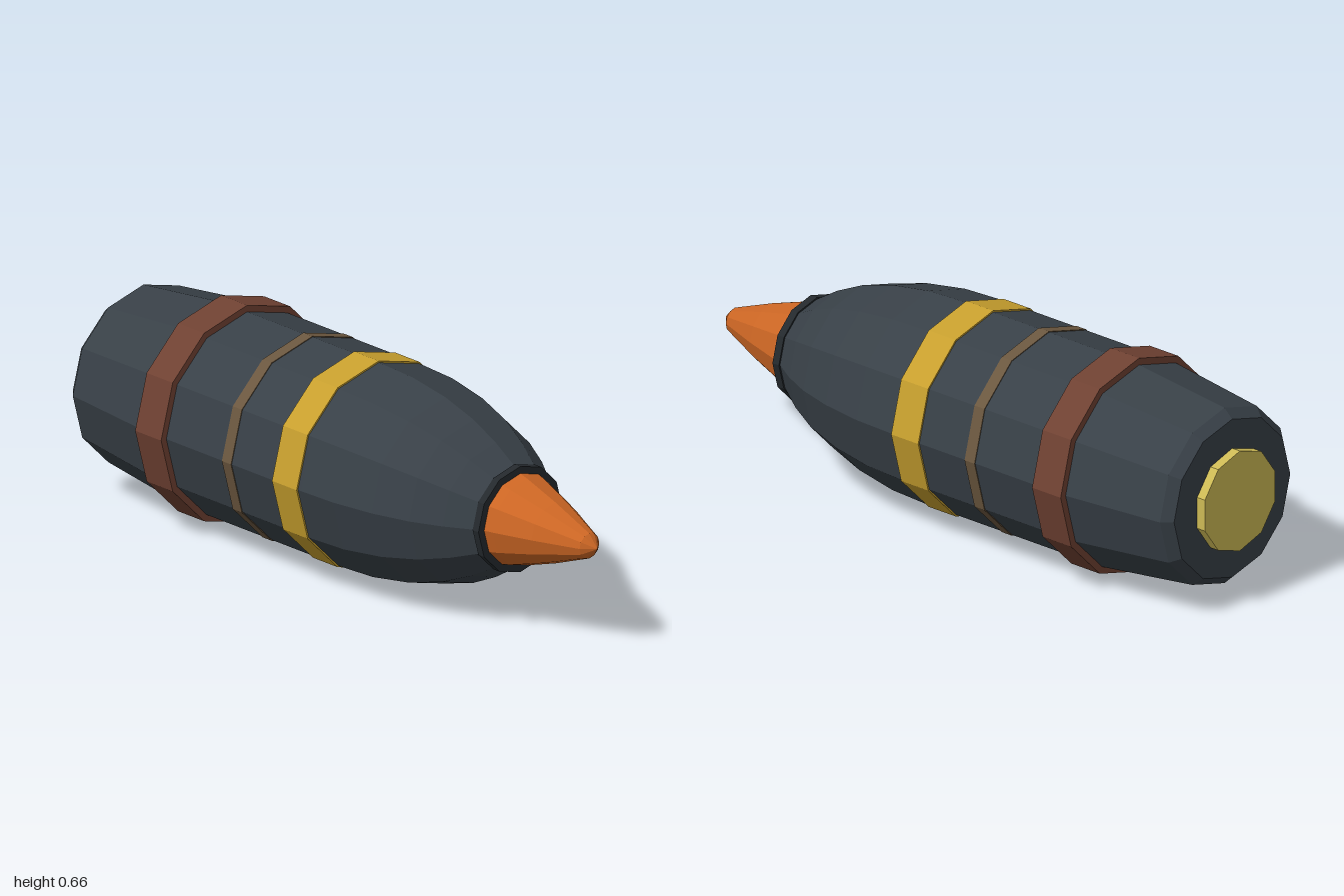
import * as THREE from 'three';

const AXIS_Y = 0.332;

function material(name, color) {
  const m = new THREE.MeshStandardMaterial({ color, flatShading: true });
  m.name = name;
  return m;
}

export function createModel() {
  const group = new THREE.Group();
  group.name = 'shell';

  const slate = material('slate casing', 0x384047);
  const black = material('dark collar', 0x24292d);
  const orange = material('orange', 0xcc6624);
  const yellow = material('yellow', 0xc79f2e);
  const tan = material('dull tan', 0x6b573f);
  const copper = material('red brown', 0x6f4132);
  const brass = material('pale brass', 0xcdba55);

  // Faceted solid of revolution along z; profile is [radius, z] from back to front
  function turned(name, mat, profile, sides = 12) {
    const points = profile.map(([r, z]) => new THREE.Vector2(r, z));
    const geometry = new THREE.LatheGeometry(points, sides);
    geometry.rotateX(Math.PI / 2);
    const mesh = new THREE.Mesh(geometry, mat);
    mesh.name = name;
    mesh.position.y = AXIS_Y;
    group.add(mesh);
  }

  // Closed disc or ring-shaped part of constant radius
  function disc(name, mat, radius, back, front, sides) {
    turned(name, mat, [[0, back], [radius, back], [radius, front], [0, front]], sides);
  }

  // Casing with tapered tail and rounded shoulder
  turned('casing', slate, [
    [0, -0.97], [0.245, -0.97], [0.272, -0.94], [0.311, -0.6], [0.311, 0.08],
    [0.306, 0.21], [0.284, 0.35], [0.249, 0.47], [0.205, 0.565], [0.15, 0.655], [0, 0.655],
  ]);

  // Nose
  disc('noseCollar', black, 0.161, 0.645, 0.67);
  turned('noseCone', orange, [
    [0, 0.66], [0.142, 0.66], [0.132, 0.7], [0.093, 0.82], [0.038, 0.965], [0, 1],
  ]);

  // Bands around the casing
  disc('yellowBand', yellow, 0.316, -0.04, 0.065);
  disc('thinBand', tan, 0.3135, -0.257, -0.218);
  disc('driveBand', copper, 0.331, -0.608, -0.497);

  // Base plug
  disc('basePlug', brass, 0.155, -1, -0.965, 10);

  return group;
}
